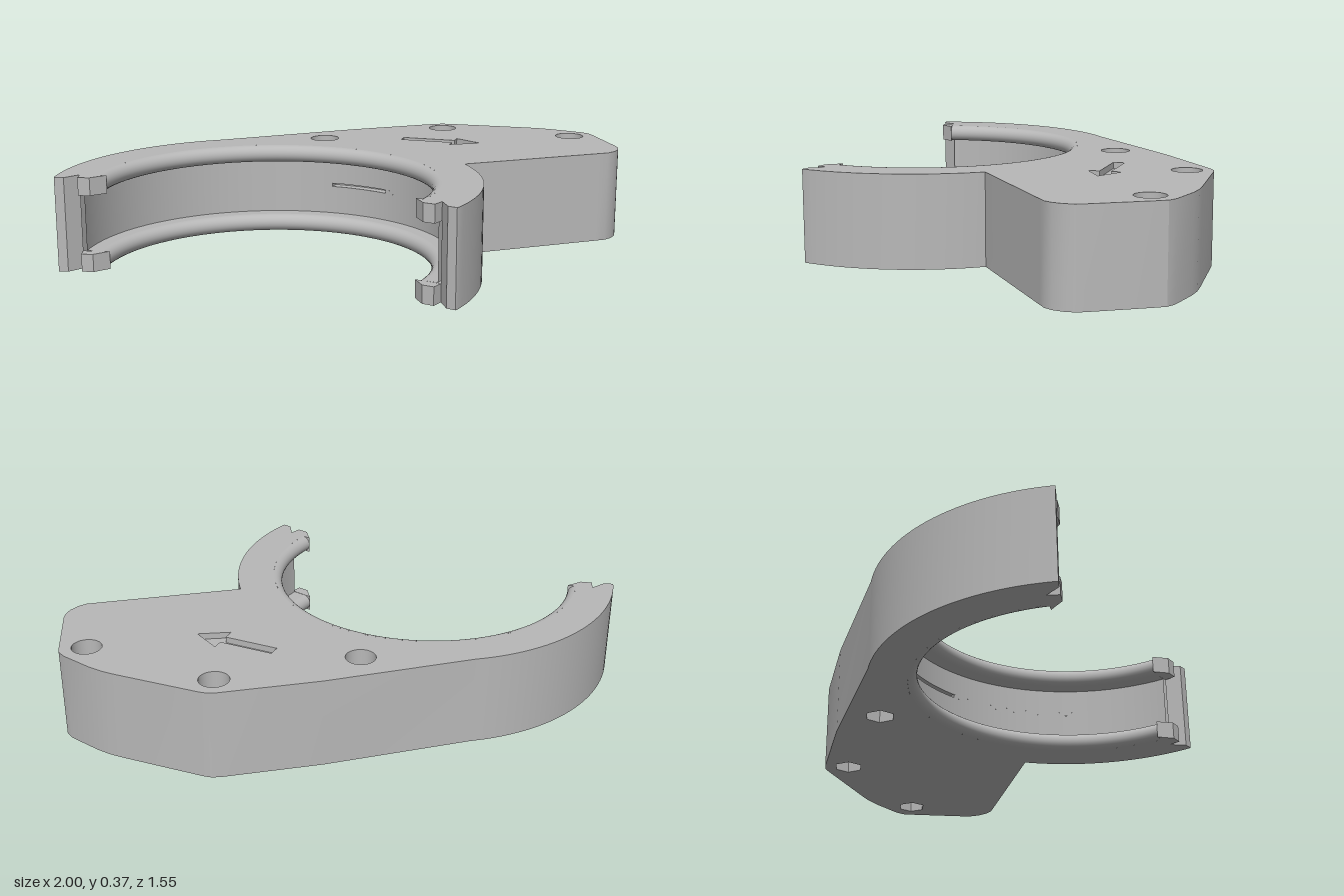
import * as THREE from 'three';
import { mergeGeometries, toCreasedNormals } from 'three/addons/utils/BufferGeometryUtils.js';

const CX = -0.19, CZ = 0.56;              // centre of the clamp ring
const H = 0.37, LIP = 0.07;               // total height, lip thickness
const R_OUT = 0.81, R_GROOVE = 0.71, R_FLAT = 0.655, R_IN = 0.62;
const A0 = 1.38, A1 = 2 * Math.PI - A0;   // ring opening faces +z

// [x, z] points on an arc, angle measured from +z towards +x
function arc(cx, cz, r, a, b, n) {
  return Array.from({ length: n + 1 }, (_, i) => {
    const t = a + (b - a) * i / n;
    return [cx + r * Math.sin(t), cz + r * Math.cos(t)];
  });
}
const ring = (r, a, b, n) => arc(CX, CZ, r, a, b, n);
const mirror = pts => pts.map(([x, z]) => [2 * CX - x, z]).reverse();

// Upright wall along a path of [x, z] points
function wall(pts, y0, y1) {
  const pos = [];
  for (let i = 0; i < pts.length - 1; i++) {
    const [ax, az] = pts[i], [bx, bz] = pts[i + 1];
    pos.push(ax, y0, az, bx, y0, bz, bx, y1, bz, ax, y0, az, bx, y1, bz, ax, y1, az);
  }
  const g = new THREE.BufferGeometry();
  g.setAttribute('position', new THREE.Float32BufferAttribute(pos, 3));
  return toCreasedNormals(g, 0.45);
}

// Flat horizontal face with optional holes, looking up or down
function cap(outline, holes, y, up = true) {
  const s = up ? -1 : 1;
  const v = pts => pts.map(([x, z]) => new THREE.Vector2(x, s * z));
  const shape = new THREE.Shape(v(outline));
  shape.holes = holes.map(h => new THREE.Path(v(h)));
  const g = new THREE.ShapeGeometry(shape).toNonIndexed();
  g.deleteAttribute('uv');
  return g.rotateX(s * Math.PI / 2).translate(0, y, 0);
}

// Part of a turned surface around the ring centre, profile in [radius, y]
function turned(profile, a = A0, b = A1) {
  const n = Math.max(6, Math.round((b - a) * 18));
  const g = new THREE.LatheGeometry(profile.map(p => new THREE.Vector2(...p)), n, a, b - a).toNonIndexed();
  g.deleteAttribute('uv');
  return g.translate(CX, 0, CZ);
}

export function createModel() {
  const model = new THREE.Group();
  const grey = new THREE.MeshStandardMaterial({ color: 0xb8b8b8, side: THREE.DoubleSide });
  grey.name = 'grey plastic';
  const add = (name, parts) => {
    const mesh = new THREE.Mesh(mergeGeometries(parts), grey);
    mesh.name = name;
    model.add(mesh);
  };

  // Outer contour, from the right-hand arm tip around the back to the other tip
  const endLeft = [[-0.97, 0.77], [-0.935, 0.76], [-0.9, 0.7]];
  const endRight = mirror(endLeft);
  const plate = [
    [0.935, -0.29], [0.97, -0.317], [0.99, -0.35], [1, -0.395], [0.997, -0.43], [0.985, -0.462],
    [0.855, -0.685], [0.835, -0.715], [0.8, -0.735], [0.66, -0.768], [0.6, -0.776], [0.54, -0.776],
    [0.19, -0.76], [0.16, -0.755], [0.13, -0.74], [-0.19, -0.5],
  ];
  const outer = [
    ...endRight, ...ring(R_OUT, 1.32, 2.22, 20), ...plate, ...ring(R_OUT, 3.747, 4.96, 28), ...endLeft,
  ];

  // Toothed lip ends
  const [lipEnd] = ring(R_IN, A1, A1, 1), [flatEnd] = ring(R_FLAT, A1, A1, 1);
  const tipLeft = [[-0.9, 0.7], [-0.885, 0.745], [-0.84, 0.735], lipEnd, flatEnd];
  const tipRight = mirror(tipLeft);
  const face = [
    ...outer, ...tipLeft.slice(1, -1), ...ring(R_FLAT, A1, A0, 90), ...tipRight.slice(1, -1),
  ];

  // Screw holes: counterbore above, hexagonal nut pocket below
  const screws = [[0.185, -0.655], [0.76, -0.635], [-0.245, -0.27]];
  const circle = (c, r, n = 32) => arc(c[0], c[1], r, 2 * Math.PI, 0, n);
  const open = pts => pts.slice(0, -1);
  const bores = screws.map(c => circle(c, 0.06));
  const shafts = screws.map(c => circle(c, 0.034));
  const nuts = screws.map(c => circle(c, 0.06, 6));
  const BORE_Y = 0.25, NUT_Y = 0.1;

  const arrow = [
    [0.08, -0.385], [0.305, -0.385], [0.305, -0.428], [0.42, -0.362],
    [0.305, -0.295], [0.305, -0.34], [0.08, -0.34],
  ];

  add('body', [
    wall(outer, 0, H),
    cap(face, [...bores.map(open), arrow], H),
    cap(face, nuts.map(open), 0, false),
  ]);
  add('arrowRecess', [wall([...arrow, arrow[0]], H - 0.025, H), cap(arrow, [], H - 0.025)]);
  screws.forEach((_, i) => add('screwHole', [
    wall(bores[i], BORE_Y, H),
    cap(open(bores[i]), [open(shafts[i])], BORE_Y),
    wall(shafts[i], NUT_Y, BORE_Y),
    cap(open(nuts[i]), [open(shafts[i])], NUT_Y, false),
    wall(nuts[i], 0, NUT_Y),
  ]));

  // Rounded lips above and below the groove, with their toothed ends
  for (const [name, y0, ledge] of [['lowerLip', 0, LIP], ['upperLip', H - LIP, H - LIP]]) {
    const nose = Array.from({ length: 13 }, (_, i) => {
      const t = Math.PI * i / 12;
      return [R_FLAT - (R_FLAT - R_IN) * Math.sin(t), y0 + LIP / 2 + LIP / 2 * Math.cos(t)];
    });
    const up = y0 === 0;
    add(name, [
      turned(nose),
      turned(up ? [[R_GROOVE, ledge], [R_FLAT, ledge]] : [[R_FLAT, ledge], [R_GROOVE, ledge]]),
      ...[tipLeft, tipRight].flatMap(t => [wall(t, y0, y0 + LIP), cap(t, [], ledge, up)]),
    ]);
  }

  // Groove wall with a narrow slot at the back
  const S0 = Math.PI - 0.39, S1 = Math.PI - 0.028, Y0 = 0.186, Y1 = 0.2, DEEP = 0.75;
  const band = (r, hi, lo, a, b) => turned([[r, hi], [r, lo]], a, b);
  add('groove', [
    band(R_GROOVE, H - LIP, Y1),
    band(R_GROOVE, Y0, LIP),
    band(R_GROOVE, Y1, Y0, A0, S0),
    band(R_GROOVE, Y1, Y0, S1, A1),
  ]);
  const radial = a => [ring(R_GROOVE, a, a, 1)[0], ring(DEEP, a, a, 1)[0]];
  add('grooveSlot', [
    band(DEEP, Y1, Y0, S0, S1),
    turned([[R_GROOVE, Y1], [DEEP, Y1]], S0, S1),
    turned([[DEEP, Y0], [R_GROOVE, Y0]], S0, S1),
    wall(radial(S0).reverse(), Y0, Y1),
    wall(radial(S1), Y0, Y1),
  ]);
  return model;
}
